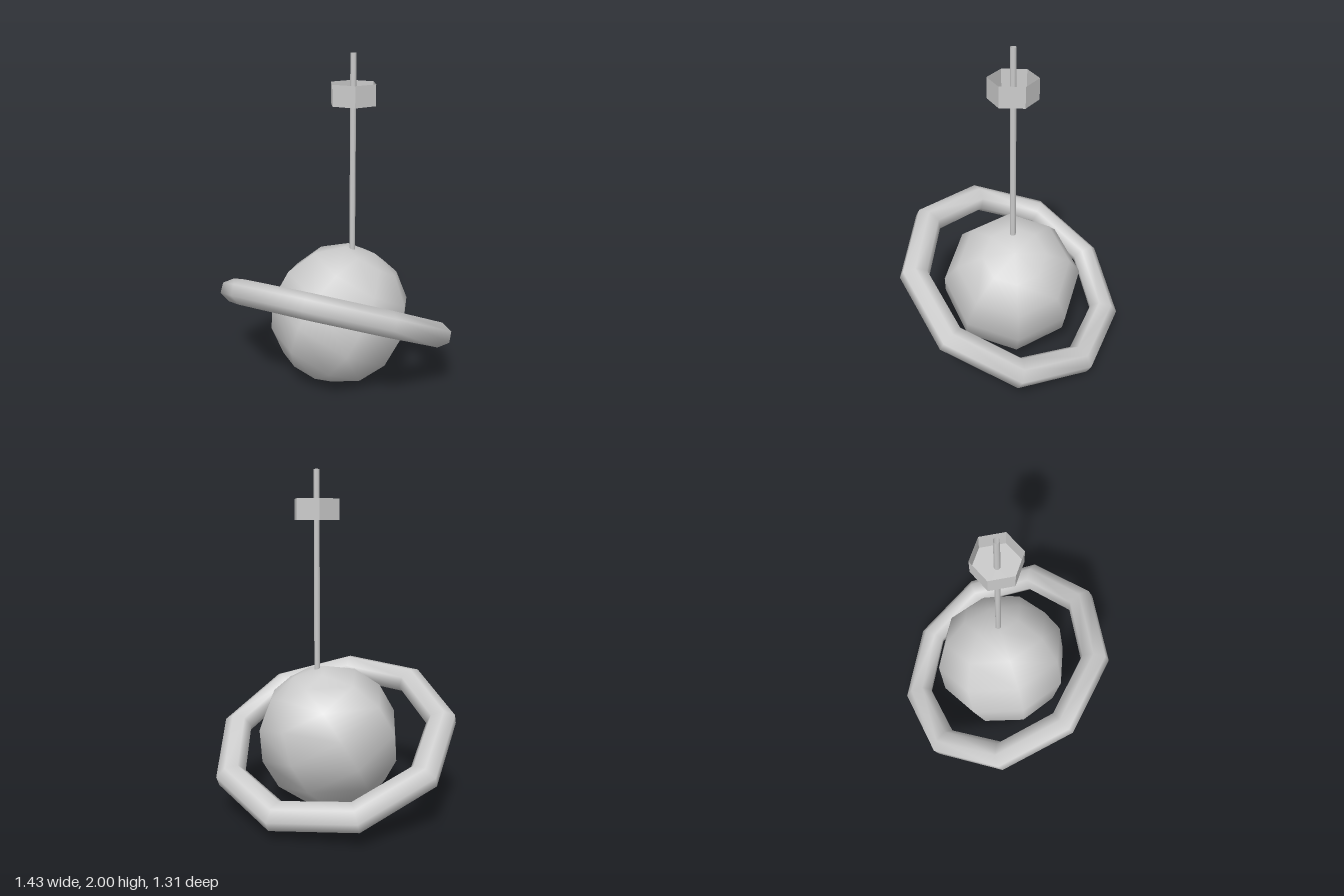
import * as THREE from 'three';
import { mergeVertices } from 'three/addons/utils/BufferGeometryUtils.js';

const grey = (options = {}) => new THREE.MeshStandardMaterial({ color: 0xcccccc, ...options });
const rad = THREE.MathUtils.degToRad;

export function createModel() {
  const model = new THREE.Group();
  const add = (name, geometry, material, x, y, z) => {
    const mesh = new THREE.Mesh(geometry, material);
    mesh.name = name;
    mesh.position.set(x, y, z);
    model.add(mesh);
    return mesh;
  };

  // Planet: coarse smooth ball with a tilted axis
  const ball = new THREE.SphereGeometry(0.432, 8, 7);
  ball.rotateZ(rad(-30)).rotateY(rad(38));
  add('planet', ball, grey(), 0, 0.432, -0.01);

  // Ring: seven-sided flattened section swept around nine sides
  const section = [];
  for (let i = 0; i <= 7; i++) {
    const a = ((i - 0.5) / 7) * Math.PI * 2;
    section.push(new THREE.Vector2(0.654 + 0.092 * Math.cos(a), 0.075 * Math.sin(a)));
  }
  let ringShape = new THREE.LatheGeometry(section, 9, Math.PI / 2);
  ringShape.deleteAttribute('uv');
  ringShape.deleteAttribute('normal');
  ringShape = mergeVertices(ringShape, 1e-4);
  ringShape.computeVertexNormals();
  const ring = add('ring', ringShape, grey(), -0.022, 0.43, 0);
  ring.rotation.x = rad(-28.3);

  // Hanging rod: thin open tube
  add('rod', new THREE.CylinderGeometry(0.018, 0.018, 1.17, 8, 1, true),
    grey({ side: THREE.DoubleSide }), 0.06, 1.415, -0.056);

  // Ceiling cup: hexagonal wall, open at the top, with a floor
  const cupMaterial = grey({ side: THREE.DoubleSide, flatShading: true });
  const wall = new THREE.CylinderGeometry(0.14, 0.14, 0.12, 6, 1, true).rotateY(Math.PI / 2);
  add('cupWall', wall, cupMaterial, 0.06, 1.775, -0.056);
  const floor = new THREE.CircleGeometry(0.14, 6).rotateX(Math.PI / 2);
  add('cupFloor', floor, cupMaterial, 0.06, 1.715, -0.056);

  return model;
}
